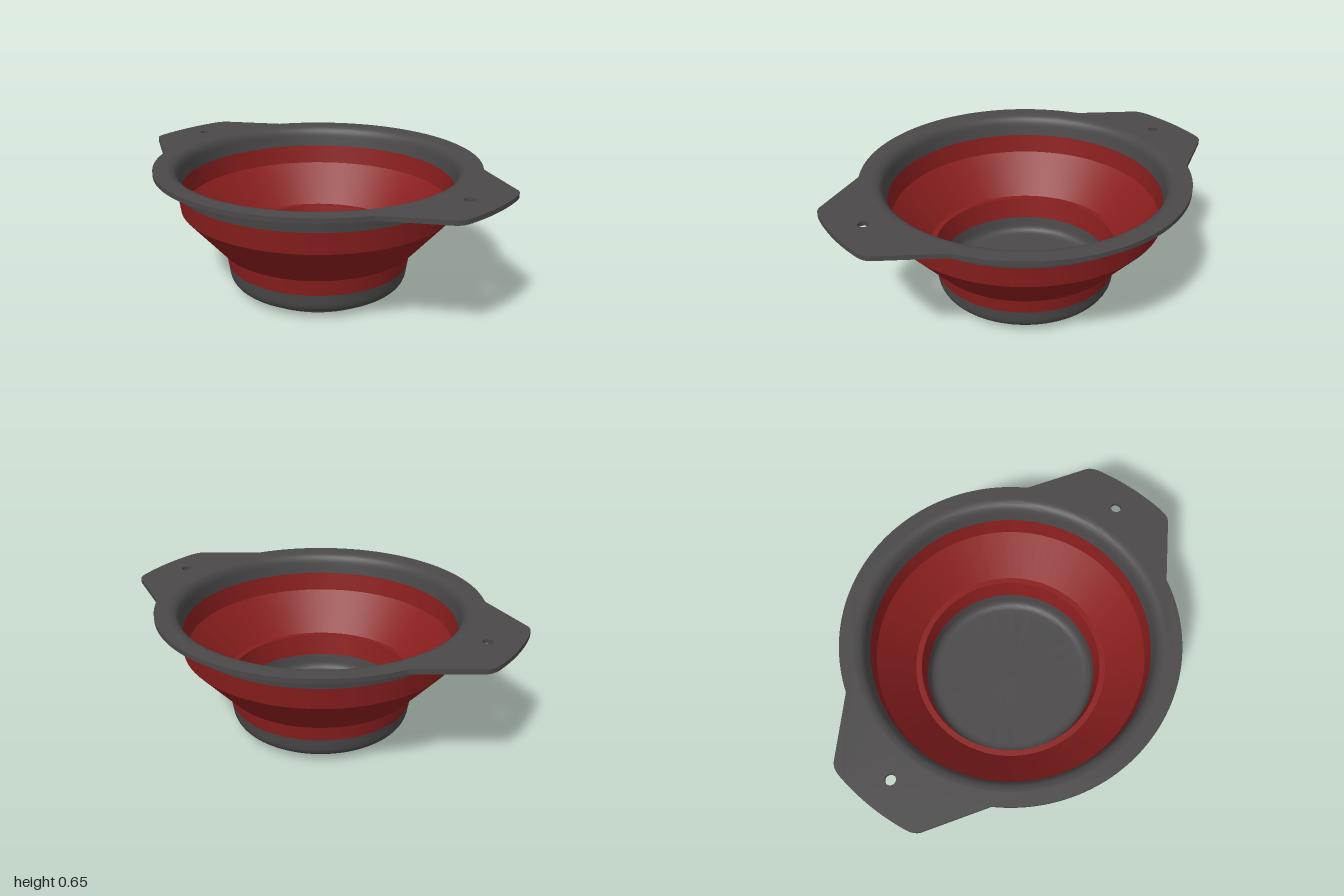
import * as THREE from 'three';
import { toCreasedNormals } from 'three/addons/utils/BufferGeometryUtils.js';

const grey = new THREE.MeshStandardMaterial({ color: 0x4a4848 });
const red = new THREE.MeshStandardMaterial({ color: 0x8a1e1e });
const SEGMENTS = 96;

// Rounded corner from a to c, pulled towards b
function fillet(a, b, c) {
  const v = (p) => new THREE.Vector2(...p);
  return new THREE.QuadraticBezierCurve(v(a), v(b), v(c)).getPoints(10).map((p) => [p.x, p.y]);
}

// Revolved ring: outer profile runs up, inner profile runs down
function ring(name, material, profile) {
  const points = profile.map(([r, y]) => new THREE.Vector2(r, y));
  const geometry = toCreasedNormals(new THREE.LatheGeometry(points, SEGMENTS), 0.35);
  const mesh = new THREE.Mesh(geometry, material);
  mesh.name = name;
  return mesh;
}

function circleHole(x, r) {
  return new THREE.Path().absarc(x, 0, r, 0, Math.PI * 2, true);
}

// Flat rim with a handle on either side
function rimPlate() {
  const shape = new THREE.Shape();
  const a = Math.atan2(0.42, 0.68);
  shape.absarc(0, 0, 0.8, a, Math.PI - a, false);
  shape.lineTo(-0.95, 0.25);
  shape.quadraticCurveTo(-0.98, 0.23, -0.987, 0.17);
  shape.quadraticCurveTo(-1.013, 0, -0.987, -0.17);
  shape.quadraticCurveTo(-0.98, -0.23, -0.95, -0.25);
  shape.absarc(0, 0, 0.8, Math.PI + a, 2 * Math.PI - a, false);
  shape.lineTo(0.95, -0.25);
  shape.quadraticCurveTo(0.98, -0.23, 0.987, -0.17);
  shape.quadraticCurveTo(1.013, 0, 0.987, 0.17);
  shape.quadraticCurveTo(0.98, 0.23, 0.95, 0.25);
  shape.closePath();
  shape.holes.push(circleHole(0, 0.735), circleHole(0.86, 0.025), circleHole(-0.86, 0.025));
  const geometry = new THREE.ExtrudeGeometry(shape, {
    depth: 0.022, bevelEnabled: false, curveSegments: 48,
  });
  geometry.rotateX(-Math.PI / 2).translate(0, 0.628, 0);
  const mesh = new THREE.Mesh(toCreasedNormals(geometry, 0.35), grey);
  mesh.name = 'rimWithHandles';
  return mesh;
}

export function createModel() {
  const group = new THREE.Group();
  group.name = 'collapsibleBowl';

  // Foot disc
  group.add(ring('foot', grey, [[0, 0], [0.355, 0], [0.355, 0.035]]));

  // Rounded base with the floor inside
  group.add(ring('base', grey, [
    [0, 0.03],
    ...fillet([0.38, 0.03], [0.448, 0.03], [0.453, 0.1]),
    [0.459, 0.14], [0.439, 0.14],
    ...fillet([0.434, 0.1], [0.43, 0.05], [0.38, 0.05]),
    [0, 0.05],
  ]));

  // Flexible wall: steep lower band, fold, cone and steep upper band
  group.add(ring('flexibleWall', red, [
    [0.459, 0.14], [0.473, 0.232], [0.495, 0.232], [0.677, 0.44], [0.692, 0.545],
    [0.672, 0.545], [0.658, 0.448], [0.487, 0.252], [0.458, 0.252], [0.439, 0.14],
  ]));

  // Upper collar flaring into the rim
  group.add(ring('collar', grey, [
    [0.692, 0.545],
    ...fillet([0.7, 0.595], [0.704, 0.628], [0.735, 0.628]),
    ...fillet([0.735, 0.65], [0.688, 0.65], [0.68, 0.595]),
    [0.672, 0.545],
  ]));

  group.add(rimPlate());
  return group;
}
